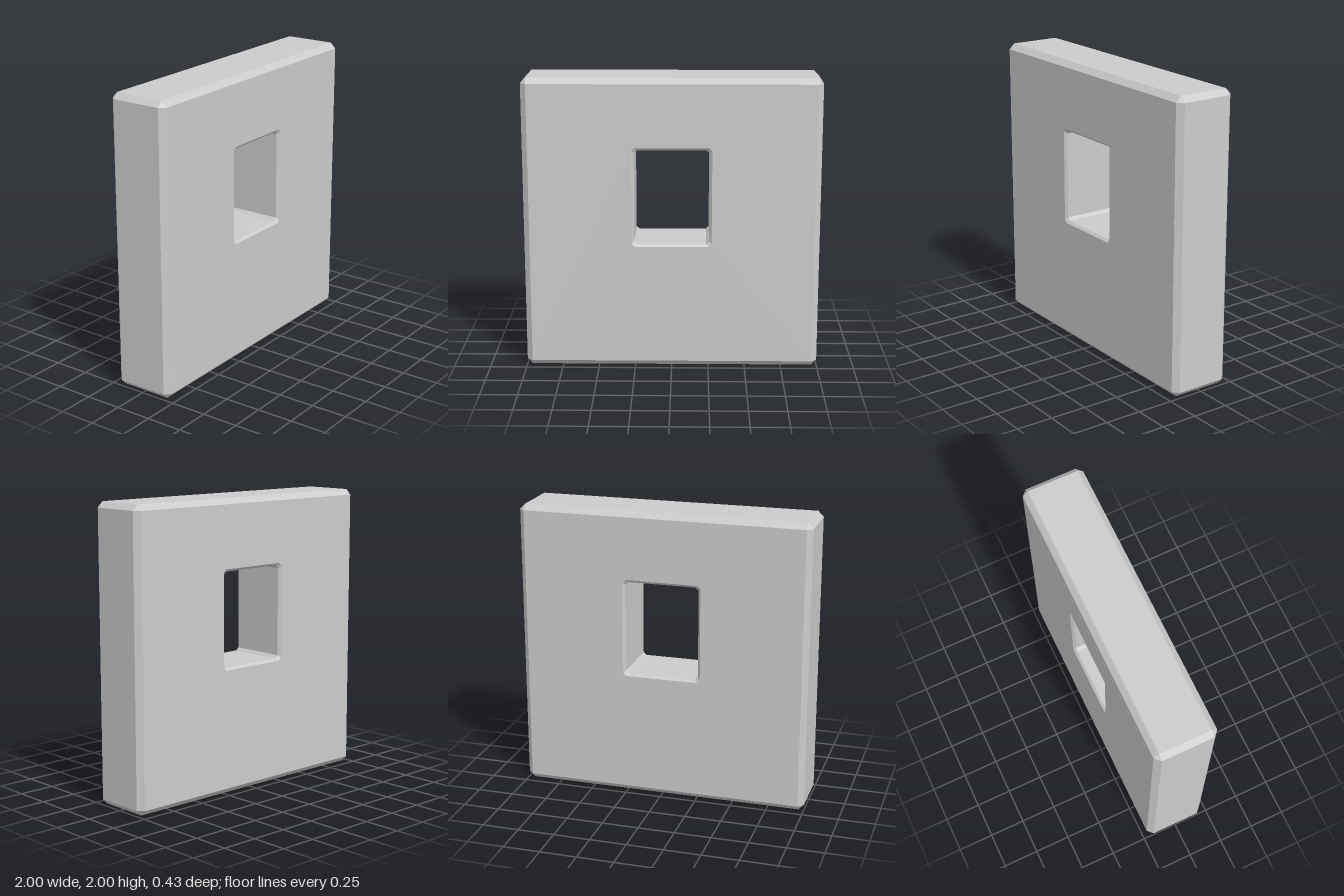
import * as THREE from 'three';

// Rectangle with cut corners, counter-clockwise as seen from +z
function loop(halfW, halfH, cut, centreY, z) {
  const w = halfW, h = halfH, c = cut;
  return [
    [w - c, -h], [w, -h + c], [w, h - c], [w - c, h],
    [-w + c, h], [-w, h - c], [-w, -h + c], [-w + c, -h],
  ].map(([x, y]) => new THREE.Vector3(x, y + centreY, z));
}

// Joins neighbouring loops with quads, closing from the last back to the first
function skin(loops) {
  const pos = [];
  const tri = (a, b, c) => {
    const area = b.clone().sub(a).cross(c.clone().sub(a)).length();
    if (area > 1e-8) for (const p of [a, b, c]) pos.push(p.x, p.y, p.z);
  };
  loops.forEach((a, k) => {
    const b = loops[(k + 1) % loops.length];
    for (let i = 0; i < a.length; i++) {
      const j = (i + 1) % a.length;
      tri(a[i], b[i], b[j]);
      tri(a[i], b[j], a[j]);
    }
  });
  const geometry = new THREE.BufferGeometry();
  geometry.setAttribute('position', new THREE.Float32BufferAttribute(pos, 3));
  geometry.computeVertexNormals();
  return geometry;
}

export function createModel() {
  const group = new THREE.Group();
  group.name = 'wallWithWindow';
  const depth = 0.213, bevel = 0.038, holeBevel = 0.017, holeY = 1.195;

  const outer = (z, inset) => loop(1 - inset, 1 - inset, bevel - inset, 1, z);
  const hole = (z, inset) => loop(0.27 - inset, 0.34 - inset, 0.02, holeY, z);

  const wall = new THREE.Mesh(
    skin([
      // bevelled outside, front to back
      outer(depth, bevel), outer(depth - bevel, 0),
      outer(-depth + bevel, 0), outer(-depth, bevel),
      // bevelled window opening, back to front
      hole(-depth, 0), hole(-depth + holeBevel, holeBevel),
      hole(depth - holeBevel, holeBevel), hole(depth, 0),
    ]),
    new THREE.MeshStandardMaterial({ color: 0xcccccc, flatShading: true })
  );
  wall.name = 'wall';
  group.add(wall);
  return group;
}
